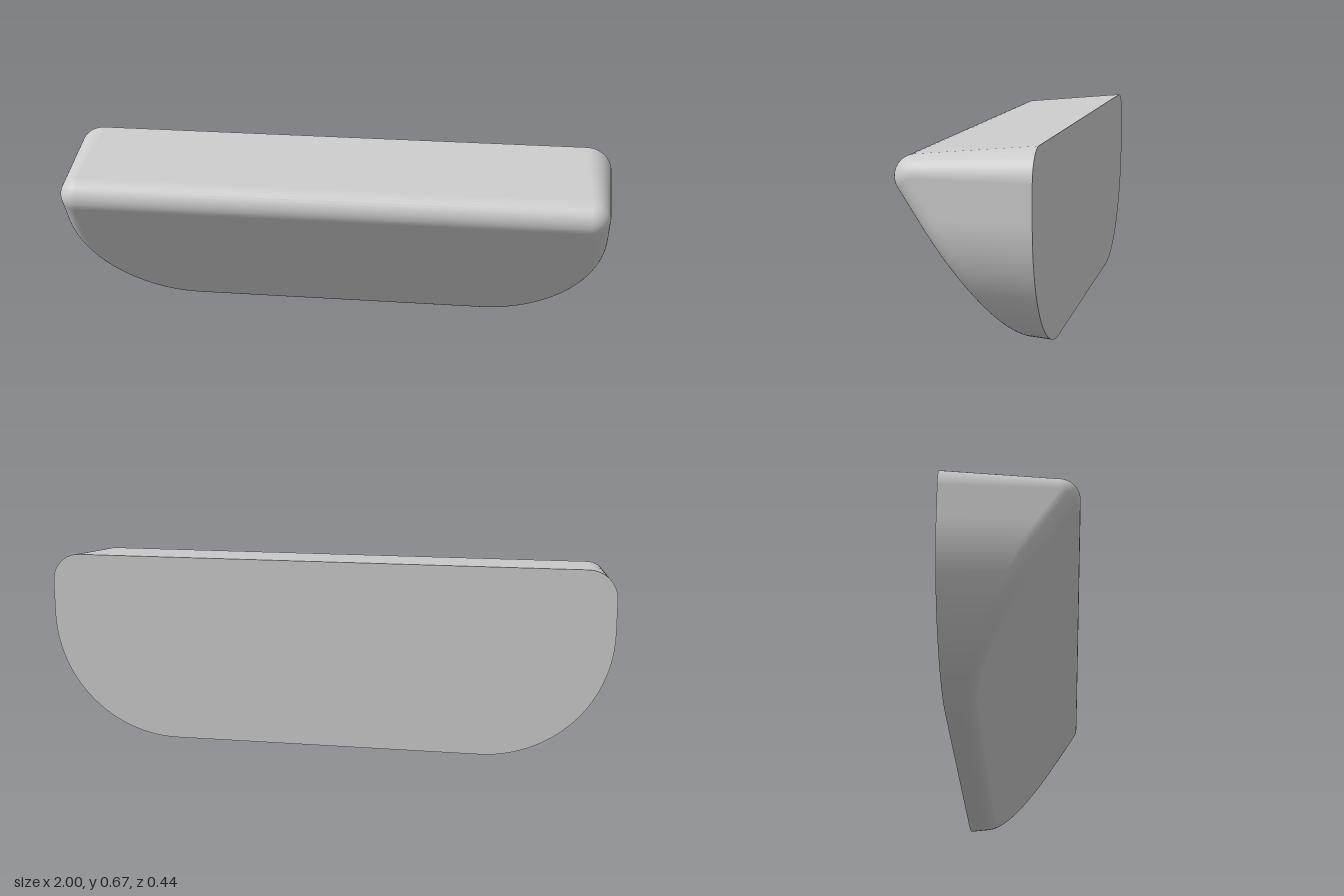
import * as THREE from 'three';

const BACK = -0.22, DRAFT = 0.0875, FILLET = 0.067;
const SLOPE = new THREE.Vector3(0, -0.547, 0.837).normalize(); // normal of the slanted front
const SLOPE_DIST = SLOPE.dot(new THREE.Vector3(0, 0.5305, 0.209));
const ARC_STEPS = 24, FILLET_STEPS = 12;

// Back outline, counter-clockwise: small upper corners, large lower corners
function outline() {
  const W = 1, H = 0.667, top = 0.1, low = 0.45;
  const corners = [
    [W - top, H - top, top], [-W + top, H - top, top],
    [-W + low, low, low], [W - low, low, low],
  ];
  const pts = [];
  corners.forEach(([cx, cy, r], q) => {
    for (let i = 0; i <= ARC_STEPS; i++) {
      const a = (q + i / ARC_STEPS) * Math.PI / 2;
      const n = new THREE.Vector3(Math.cos(a), Math.sin(a), 0);
      pts.push({ n, p: new THREE.Vector3(cx, cy, BACK).addScaledVector(n, r) });
    }
  });
  return pts;
}

// One cross-section: back edge, then a rolled fillet onto the slanted front
function section({ p, n }) {
  const side = new THREE.Vector3(n.x, n.y, DRAFT).normalize();
  const dir = new THREE.Vector3(-n.x * DRAFT, -n.y * DRAFT, 1);
  const start = p.clone().addScaledVector(side, -FILLET);
  const s = (SLOPE_DIST - FILLET - SLOPE.dot(start)) / SLOPE.dot(dir);
  const centre = start.addScaledVector(dir, s);
  const angle = side.angleTo(SLOPE);
  const row = [{ p, n: side }];
  for (let i = 0; i <= FILLET_STEPS; i++) {
    const t = i / FILLET_STEPS;
    const m = side.clone().multiplyScalar(Math.sin((1 - t) * angle))
      .addScaledVector(SLOPE, Math.sin(t * angle)).normalize();
    row.push({ p: centre.clone().addScaledVector(m, FILLET), n: m });
  }
  return row;
}

function toGeometry(verts, index) {
  const g = new THREE.BufferGeometry();
  g.setAttribute('position', new THREE.Float32BufferAttribute(verts.flatMap(v => v.p.toArray()), 3));
  g.setAttribute('normal', new THREE.Float32BufferAttribute(verts.flatMap(v => v.n.toArray()), 3));
  g.setIndex(index);
  return g;
}

// Flat convex face fanned from its middle
function cap(points, normal, flip) {
  const mid = new THREE.Vector3();
  points.forEach(p => mid.addScaledVector(p, 1 / points.length));
  const verts = [...points, mid].map(p => ({ p, n: normal }));
  const index = [], N = points.length;
  for (let i = 0; i < N; i++) {
    const j = (i + 1) % N;
    index.push(N, flip ? j : i, flip ? i : j);
  }
  return toGeometry(verts, index);
}

export function createModel() {
  const group = new THREE.Group();
  group.name = 'wedgeHandle';
  const material = new THREE.MeshStandardMaterial({ color: 0xcccccc });
  const add = (name, geometry) => {
    const mesh = new THREE.Mesh(geometry, material);
    mesh.name = name;
    group.add(mesh);
  };

  const edge = outline();
  const rows = edge.map(section);
  const N = rows.length, M = rows[0].length;

  // Tapered sides with the rounded front edge
  const index = [];
  for (let i = 0; i < N; i++) {
    for (let j = 0; j < M - 1; j++) {
      const a = i * M + j, b = ((i + 1) % N) * M + j;
      index.push(a, b, b + 1, a, b + 1, a + 1);
    }
  }
  add('taperedSides', toGeometry(rows.flat(), index));

  // Slanted front and flat back
  add('slantedFront', cap(rows.map(r => r[M - 1].p), SLOPE, false));
  add('flatBack', cap(edge.map(e => e.p), new THREE.Vector3(0, 0, -1), true));
  return group;
}
